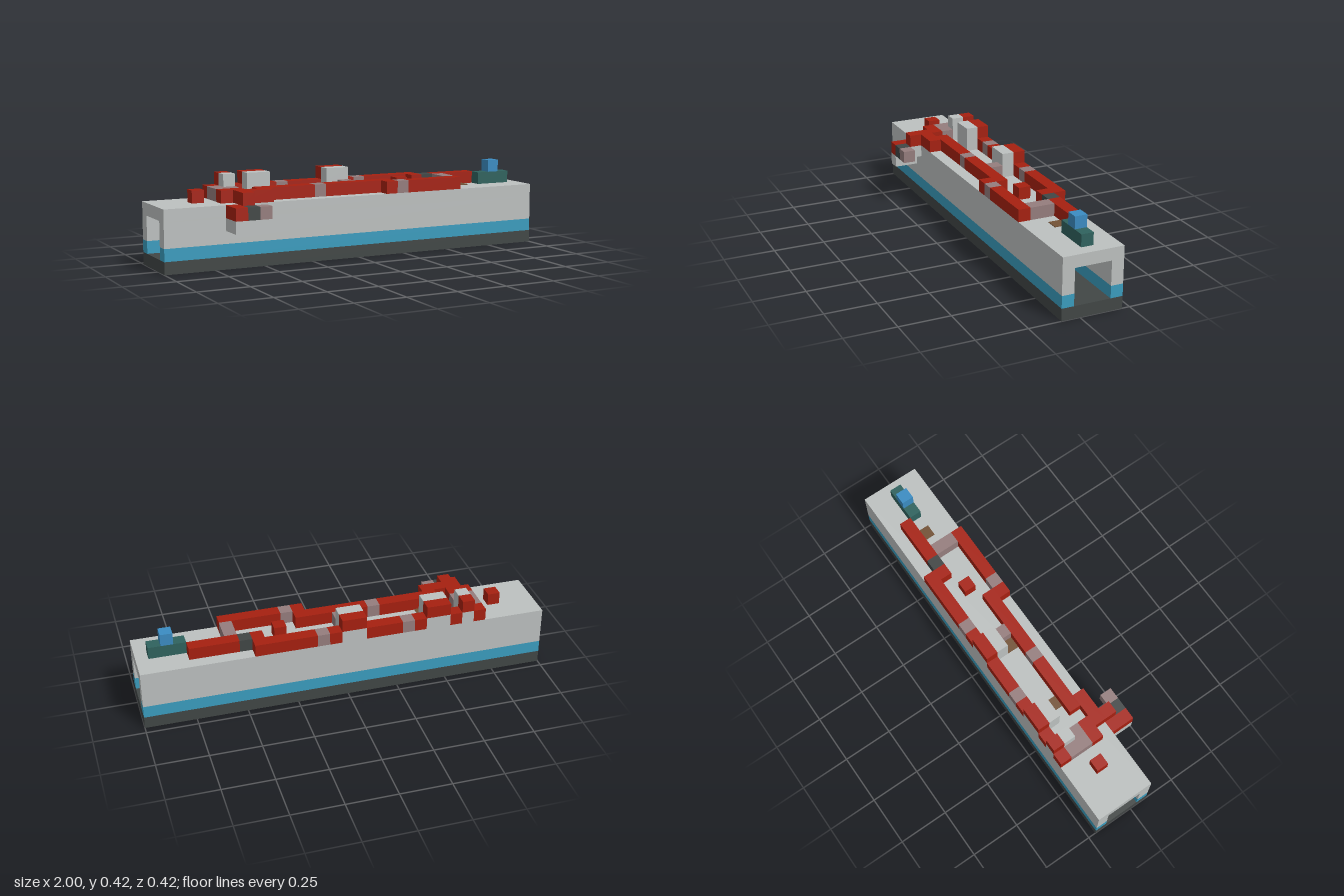
import * as THREE from 'three';

const U = 2 / 33; // edge of one grid block

const mat = (name, hex) => {
  const m = new THREE.MeshStandardMaterial({ color: hex });
  m.name = name;
  return m;
};

export function createModel() {
  const stone = mat('pale stone', 0xbcc0bf);
  const azure = mat('azure stripe', 0x3a9cbe);
  const slate = mat('dark slate', 0x414645);
  const red = mat('red', 0xa62010);
  const mauve = mat('mauve', 0x957d7d);
  const teal = mat('teal', 0x2f625e);
  const blue = mat('blue', 0x3b8cc2);
  const brown = mat('brown', 0x735235);
  const green = mat('green', 0x3b702d);
  const grey = mat('mid grey', 0x888888);

  const model = new THREE.Group();
  model.name = 'tunnel';

  // Block run: first cell (x, y, z) and size in cells
  const run = (name, material, x, y, z, w = 1, h = 1, d = 1) => {
    const mesh = new THREE.Mesh(new THREE.BoxGeometry(w * U, h * U, d * U), material);
    mesh.position.set((x + w / 2 - 16.5) * U, (y + h / 2) * U, (z + d / 2 - 3.5) * U);
    mesh.name = name;
    model.add(mesh);
  };

  // Tunnel shell, open at both ends
  run('floor', slate, 0, 0, 0, 33, 1, 5);
  for (const z of [0, 4]) {
    run('wallStripe', azure, 0, 1, z, 33);
    run('wall', stone, 0, 2, z, 33, 2);
  }
  run('roof', stone, 0, 4, 0, 33, 1, 5);

  // Fittings inside the tunnel
  run('innerCrate', brown, 15, 1, 3);
  run('innerPillar', grey, 15, 2, 3, 1, 2);
  run('innerPlanter', brown, 15, 1, 1);
  run('innerPlant', green, 15, 2, 1);
  run('hangingBlock', stone, 15, 3, 2);

  // Back track on the roof: [x, z, length]
  for (const [x, z, w] of [[5, 0, 1], [7, 0, 1], [10, 0, 1], [12, 0, 3], [17, 0, 1], [19, 0, 5], [23, 1, 1], [25, 1, 4]])
    run('backTrack', red, x, 5, z, w);
  for (const x of [11, 18]) run('backLink', mauve, x, 5, 0);
  run('backCoupler', slate, 24, 5, 1);

  // Raised track steps with their supports
  for (const [x, w] of [[6, 1], [8, 2], [15, 2]]) {
    run('stepSupport', stone, x, 5, 0, w, 1, 2);
    run('stepTrack', red, x, 6, 0, w);
    run('stepBlock', stone, x, 6, 1, w);
  }

  // Front track on the roof
  for (const [x, z, w] of [[5, 3, 2], [8, 3, 5], [14, 3, 6], [6, 4, 3], [19, 4, 1], [21, 4, 5]])
    run('frontTrack', red, x, 5, z, w);
  run('frontLink', mauve, 13, 5, 3);
  run('frontLink', mauve, 20, 5, 4);

  // Cross links and single blocks between the tracks
  run('crossLink', mauve, 5, 5, 1, 1, 1, 2);
  run('crossLink', mauve, 6, 5, 2);
  run('crossLink', mauve, 25, 5, 2, 1, 1, 2);
  run('middleLink', mauve, 16, 5, 2);
  for (const x of [3, 21]) run('singleBlock', red, x, 5, 2);
  for (const x of [9, 15, 27]) run('roofPanel', brown, x, 5, 2, 1, 0.06);

  // Branch stepping down over the front wall
  run('branchStep', red, 6, 5, 5);
  run('branchSupport', stone, 6, 4, 5);
  run('branchTrack', red, 5, 4, 5, 1, 1, 2);
  run('branchBracket', stone, 5, 3, 5, 1, 1, 2);
  run('branchCoupler', slate, 6, 4, 6);
  run('branchEnd', mauve, 7, 4, 6);

  // Teal bench with a blue cap
  run('bench', teal, 29, 5, 2, 3);
  run('benchCap', blue, 30, 6, 2);

  return model;
}
